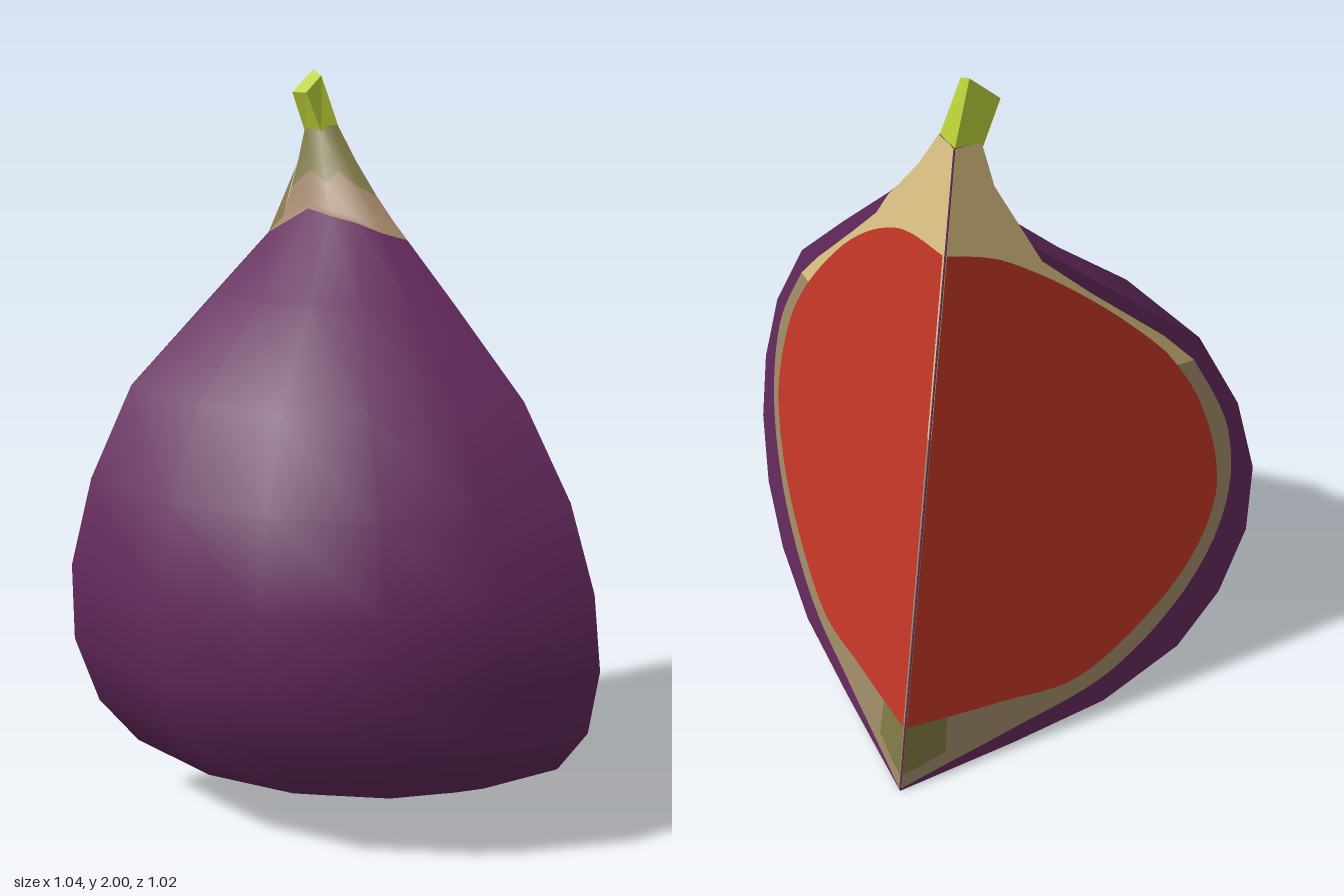
import * as THREE from 'three';

const mat = (name, color) => {
  const m = new THREE.MeshStandardMaterial({ color });
  m.name = name;
  return m;
};

// Profile rows: height, radius along x, radius along z
const ROWS = [
  [0, 0, 0], [0.02, 0.36, 0.33], [0.05, 0.65, 0.6], [0.155, 0.855, 0.815], [0.305, 0.98, 0.92],
  [0.5, 1.035, 0.97], [0.71, 1.025, 0.95], [0.94, 0.95, 0.86], [1.18, 0.79, 0.705],
  [1.4, 0.535, 0.42], [1.6, 0.295, 0.165], [1.65, 0.24, 0.14], [1.74, 0.155, 0.1], [1.85, 0.07, 0.06],
];
// Quarter-round cross-section, from the front round to the left
const ARC = [[0, 1], [0.377, 0.96], [0.647, 0.82], [0.85, 0.588], [0.971, 0.3], [1, 0]];
const EDGE_X = -0.52;
const planeZ = (y) => -0.508 + 0.0965 * y; // leaning back cut

function radii(y) {
  let i = 0;
  while (i < ROWS.length - 2 && y > ROWS[i + 1][0]) i++;
  const [a, b] = [ROWS[i], ROWS[i + 1]];
  const t = (y - a[0]) / (b[0] - a[0]);
  return [a[1] + (b[1] - a[1]) * t, a[2] + (b[2] - a[2]) * t];
}

// Outer skin with wavy colour borders near the neck
function skinGeometry() {
  const flat = (y) => ARC.map(() => y);
  const rings = ROWS.slice(0, 10).map((r) => flat(r[0]));
  const purpleTop = rings.length;
  rings.push([1.56, 1.63, 1.615, 1.6, 1.575, 1.555]);
  rings.push([1.6, 1.645, 1.63, 1.615, 1.6, 1.6]);
  const tanTop = rings.length;
  rings.push([1.68, 1.73, 1.7, 1.73, 1.69, 1.665]);
  rings.push(flat(1.755), flat(1.85));
  const pos = [], idx = [], n = ARC.length;
  rings.forEach((ring) => ring.forEach((y, j) => {
    const [rx, rz] = radii(y);
    pos.push(EDGE_X + rx * ARC[j][0], y, planeZ(y) + rz * ARC[j][1]);
  }));
  for (let i = 0; i < rings.length - 1; i++) {
    for (let j = 0; j < n - 1; j++) {
      const a = i * n + j, c = a + n;
      idx.push(a, a + 1, c, a + 1, c + 1, c);
    }
  }
  const g = new THREE.BufferGeometry();
  g.setAttribute('position', new THREE.Float32BufferAttribute(pos, 3));
  g.setIndex(idx);
  const per = (n - 1) * 6;
  g.addGroup(0, purpleTop * per, 0);
  g.addGroup(purpleTop * per, (tanTop - purpleTop) * per, 1);
  g.addGroup(tanTop * per, (rings.length - 1 - tanTop) * per, 2);
  g.computeVertexNormals();
  return g;
}

// Lays a (radius, height) shape onto the back cut or the side cut
function cutGeometry(shape, isBack, lift) {
  const g = new THREE.ShapeGeometry(shape, 6);
  const p = g.attributes.position;
  for (let i = 0; i < p.count; i++) {
    const r = p.getX(i), y = p.getY(i), [rx, rz] = radii(y);
    if (isBack) p.setXYZ(i, EDGE_X + r, y, planeZ(y) - lift);
    else p.setXYZ(i, EDGE_X - lift, y, planeZ(y) + (rx > 0 ? r * rz / rx : 0));
  }
  if (isBack) g.index.array.reverse();
  g.computeVertexNormals();
  return g;
}

const points = (pts) => pts.map(([x, y]) => new THREE.Vector2(x, y));
const polygon = (pts) => new THREE.Shape(points(pts));

// Short leaning stem, a quarter of a prism
function stemGeometry() {
  const a = [[-0.52, 1.845, -0.33], [-0.45, 1.85, -0.33], [-0.46, 1.835, -0.28], [-0.52, 1.825, -0.27]];
  const b = [[-0.52, 2, -0.295], [-0.48, 1.985, -0.295], [-0.475, 1.94, -0.24], [-0.52, 1.94, -0.225]];
  const pos = [];
  const tri = (...pts) => pts.forEach((p) => pos.push(...p));
  for (let i = 0; i < 4; i++) {
    const k = (i + 1) % 4;
    tri(a[i], b[i], a[k]);
    tri(a[k], b[i], b[k]);
  }
  tri(b[0], b[2], b[1]);
  tri(b[0], b[3], b[2]);
  const g = new THREE.BufferGeometry();
  g.setAttribute('position', new THREE.Float32BufferAttribute(pos, 3));
  g.computeVertexNormals();
  return g;
}

export function createModel() {
  const group = new THREE.Group();
  const purple = mat('purple skin', 0x64295d);
  const tan = mat('tan neck', 0xa08468);
  const olive = mat('olive neck', 0x807b45);
  const green = mat('stem green', 0xbdd138);
  const red = mat('red flesh', 0xc63728);
  const cream = mat('cream pith', 0xe3c988);
  const brown = mat('brown pith', 0xa28c68);
  const add = (name, geometry, material) => {
    const mesh = new THREE.Mesh(geometry, material);
    mesh.name = name;
    group.add(mesh);
  };

  add('skin', skinGeometry(), [purple, tan, olive]);
  add('stem', stemGeometry(), green);

  // Layers painted on both cut faces
  const rimShape = polygon([...ROWS.map((r) => [r[1], r[0]]), [0, 1.85]]);
  const lowerPith = new THREE.Shape();
  lowerPith.moveTo(0, 0.01);
  lowerPith.splineThru(points([[0.12, 0.035], [0.35, 0.08], [0.62, 0.15], [0.84, 0.34], [0.945, 0.6],
    [0.92, 0.88], [0.78, 1.12]]));
  lowerPith.lineTo(0, 1.12);
  const upperPith = polygon([[0, 1.12], [0.78, 1.12], [0.68, 1.22], [0.48, 1.4], [0.35, 1.52],
    [0.29, 1.6], [0.24, 1.65], [0.155, 1.74], [0.07, 1.85], [0, 1.85]]);
  const flesh = new THREE.Shape();
  flesh.moveTo(0, 0.23);
  flesh.splineThru(points([[0.28, 0.2], [0.54, 0.19], [0.79, 0.38], [0.9, 0.62], [0.87, 0.86],
    [0.75, 1.09], [0.49, 1.37], [0.23, 1.545], [0, 1.6]]));
  const patch = polygon([[0, 0.06], [0.06, 0.07], [0.13, 0.09], [0.12, 0.24], [0, 0.24]]);

  for (const isBack of [true, false]) {
    const face = isBack ? 'back' : 'side';
    add(face + 'CutRim', cutGeometry(rimShape, isBack, 0), purple);
    add(face + 'LowerPith', cutGeometry(lowerPith, isBack, 0.003), brown);
    add(face + 'UpperPith', cutGeometry(upperPith, isBack, 0.003), cream);
    add(face + 'BasePatch', cutGeometry(patch, isBack, 0.005), olive);
    add(face + 'Flesh', cutGeometry(flesh, isBack, 0.007), red);
  }
  return group;
}
